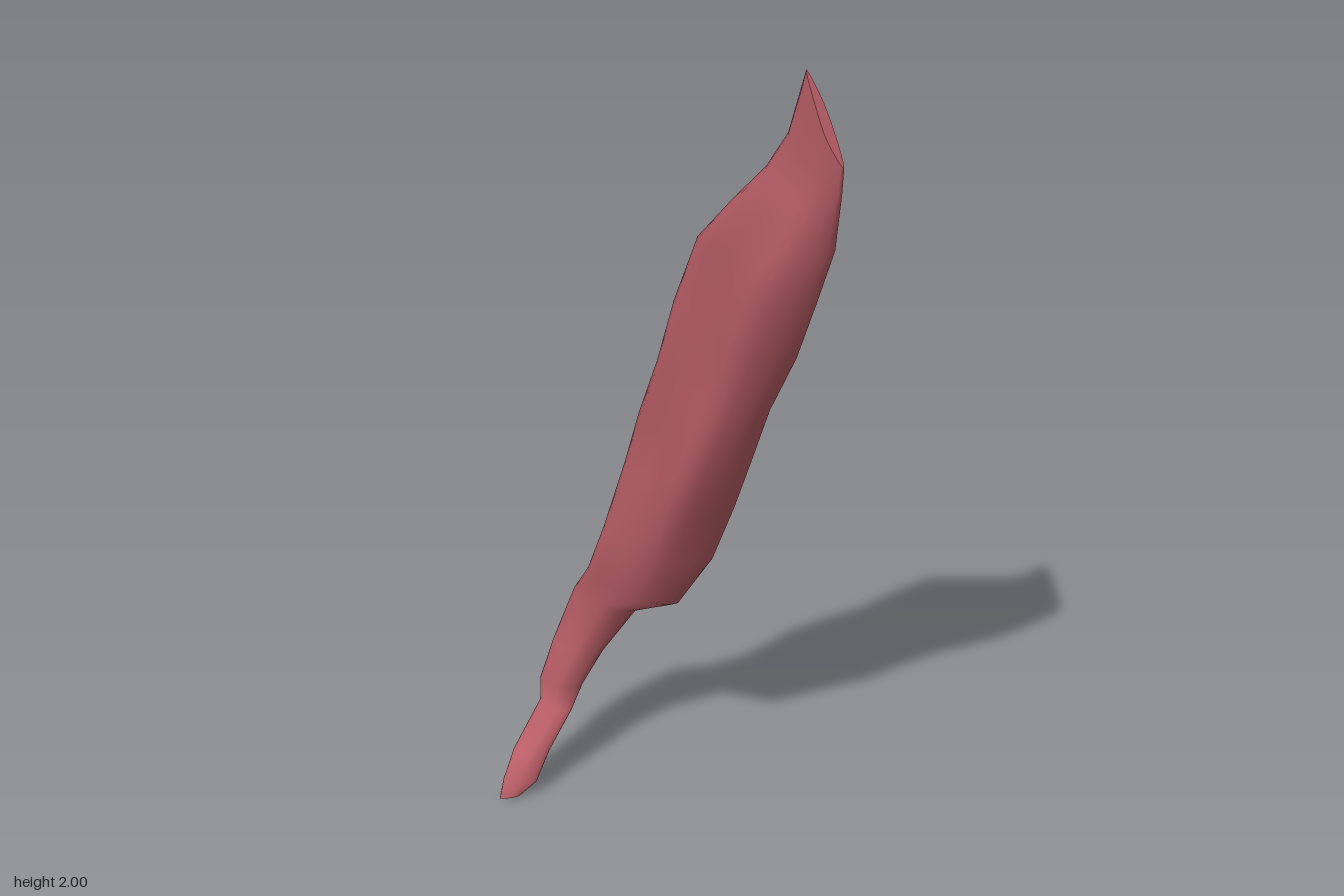
import * as THREE from 'three';

// Cross-sections from top to bottom:
// left edge x, y, z | right edge x, y, z | front bulge | back bulge
const SECTIONS = [
  [0.36, 2.0, 0.2, 0.45, 1.89, 0.25, 0.015, 0.012],
  [0.32, 1.88, 0.17, 0.442, 1.84, 0.235, 0.02, 0.03],
  [0.27, 1.8, 0.14, 0.43, 1.79, 0.215, 0.03, 0.05],
  [0.2, 1.715, 0.11, 0.41, 1.715, 0.18, 0.055, 0.068],
  [0.11, 1.6, 0.06, 0.37, 1.6, 0.15, 0.073, 0.078],
  [0.05, 1.45, 0.03, 0.31, 1.45, 0.09, 0.07, 0.09],
  [0, 1.3, 0, 0.24, 1.3, 0.04, 0.07, 0.075],
  [-0.065, 1.15, -0.05, 0.18, 1.15, -0.02, 0.1, 0.057],
  [-0.12, 1.0, -0.09, 0.125, 1.0, -0.06, 0.093, 0.05],
  [-0.18, 0.82, -0.11, 0.05, 0.82, -0.12, 0.055, 0.04],
  [-0.25, 0.66, -0.16, -0.04, 0.66, -0.15, 0.035, 0.035],
  [-0.31, 0.56, -0.2, -0.165, 0.56, -0.2, 0.025, 0.03],
  [-0.37, 0.4, -0.21, -0.26, 0.4, -0.225, 0.03, 0.032],
  [-0.4, 0.29, -0.2, -0.305, 0.3, -0.215, 0.03, 0.04],
  [-0.405, 0.225, -0.205, -0.325, 0.23, -0.2, 0.012, 0.022],
  [-0.435, 0.12, -0.14, -0.36, 0.13, -0.165, 0.02, 0.02],
  [-0.445, 0.05, -0.11, -0.38, 0.05, -0.14, 0.01, 0.01],
  [-0.45, 0, -0.1, -0.412, 0.01, -0.12, 0.005, 0.005],
];
const SIDES = 20;

// Closed smooth ring through the edges, the bulges and a shallow front groove
function makeRing([lx, ly, lz, rx, ry, rz, front, back]) {
  const left = new THREE.Vector3(lx, ly, lz);
  const right = new THREE.Vector3(rx, ry, rz);
  const at = (t, dz) => {
    const p = left.clone().lerp(right, t);
    p.z += dz;
    return p;
  };
  const groove = ly > 0.95 && ly < 1.65 ? 0.32 : 0.7;
  const curve = new THREE.CatmullRomCurve3(
    [left, at(0.3, front * groove), at(0.7, front), right, at(0.4, -back)], true, 'centripetal');
  return Array.from({ length: SIDES }, (_, k) => {
    const p = curve.getPoint(k / SIDES);
    p.y = THREE.MathUtils.clamp(p.y, 0, 2);
    return p;
  });
}

// Skin joining neighbouring rings, with smooth normals
function makeSkin(rings) {
  const index = [];
  for (let i = 0; i < rings.length - 1; i++) {
    for (let k = 0; k < SIDES; k++) {
      const n = (k + 1) % SIDES;
      const a = i * SIDES + k, b = a + SIDES;
      const c = i * SIDES + n, d = c + SIDES;
      index.push(a, b, c, c, b, d);
    }
  }
  const geometry = new THREE.BufferGeometry().setFromPoints(rings.flat());
  geometry.setIndex(index);
  geometry.computeVertexNormals();
  return geometry;
}

// Fan closing one end
function makeCap(ring, facesUp) {
  const centre = new THREE.Vector3();
  ring.forEach((p) => centre.addScaledVector(p, 1 / SIDES));
  const index = [];
  for (let k = 0; k < SIDES; k++) {
    const n = (k + 1) % SIDES;
    index.push(SIDES, facesUp ? k : n, facesUp ? n : k);
  }
  const geometry = new THREE.BufferGeometry().setFromPoints([...ring, centre]);
  geometry.setIndex(index);
  geometry.computeVertexNormals();
  return geometry;
}

export function createModel() {
  const group = new THREE.Group();
  group.name = 'muscle';
  const muscleRed = new THREE.MeshStandardMaterial({ color: 0xbf616a });
  muscleRed.name = 'muscleRed';

  const rings = SECTIONS.map(makeRing);
  const add = (name, geometry) => {
    const mesh = new THREE.Mesh(geometry, muscleRed);
    mesh.name = name;
    group.add(mesh);
  };
  add('muscleBelly', makeSkin(rings));
  add('upperEnd', makeCap(rings[0], true));
  add('lowerEnd', makeCap(rings[rings.length - 1], false));
  return group;
}
